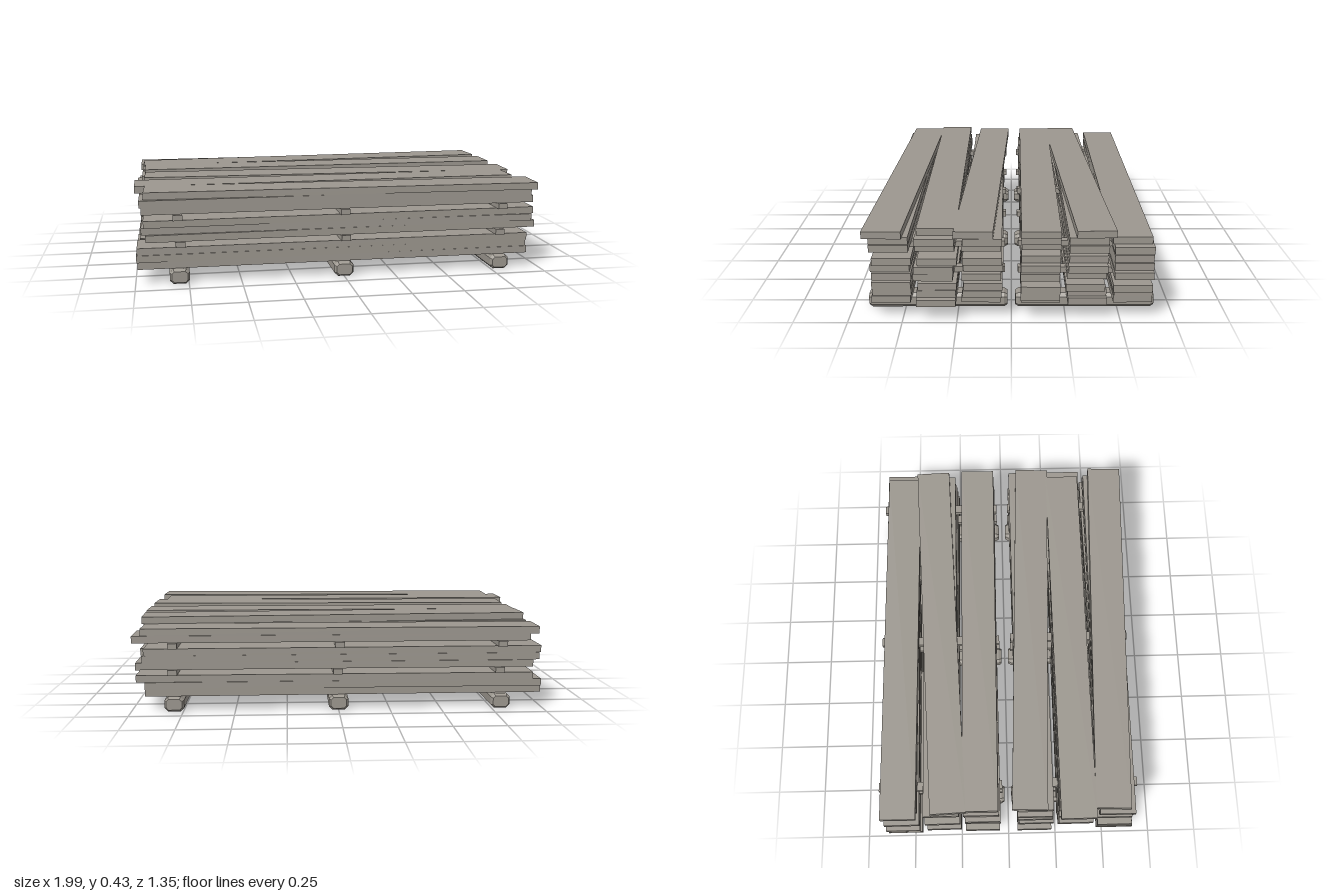
import * as THREE from 'three';

const wood = new THREE.MeshStandardMaterial({ color: 0x9c978f });
wood.name = 'weatheredWood';

// Small repeatable jitter in -1..1
function makeJitter(seed) {
  let s = seed;
  return () => {
    s = (s * 16807) % 2147483647;
    return (s / 2147483647) * 2 - 1;
  };
}

const BEARER_H = 0.072, PLANK_H = 0.0343, PLANK_W = 0.179, PLANK_L = 1.93, STICKER_H = 0.027;
const CROSS_X = [-0.793, 0, 0.793];

// Heavy ground beam with chamfered edges and ends, running along z
function bearerGeometry(width, height, length, c) {
  const w = width / 2, h = height / 2, b = c * 0.6;
  const a = w - b, d = h - b, k = c * 0.7;
  const shape = new THREE.Shape([
    [-a + k, -d], [a - k, -d], [a, -d + k], [a, d - k],
    [a - k, d], [-a + k, d], [-a, d - k], [-a, -d + k],
  ].map(([x, y]) => new THREE.Vector2(x, y)));
  const g = new THREE.ExtrudeGeometry(shape, {
    depth: length - 2 * c, bevelEnabled: true, bevelThickness: c, bevelSize: b, bevelSegments: 1,
  });
  return g.translate(0, 0, -(length - 2 * c) / 2);
}

const plankGeo = new THREE.BoxGeometry(PLANK_L, PLANK_H, PLANK_W);
const stickerGeo = new THREE.BoxGeometry(0.045, STICKER_H, 0.632);
const bearerGeo = bearerGeometry(0.094, BEARER_H, 0.655, 0.016);

function addMesh(parent, name, geo, x, y, z, yaw = 0) {
  const m = new THREE.Mesh(geo, wood);
  m.name = name;
  m.position.set(x, y, z);
  m.rotation.y = yaw;
  parent.add(m);
}

// One pile: bearers, then three tiers of three plank layers separated by stickers.
// topPlanks gives [x, z, yaw] for the loosely laid top layer.
function buildPile(name, centreZ, columns, topPlanks, seed) {
  const pile = new THREE.Group();
  pile.name = name;
  const jitter = makeJitter(seed);
  CROSS_X.forEach((x) => addMesh(pile, 'bearer', bearerGeo, x, BEARER_H / 2, centreZ));

  let y = BEARER_H;
  for (let tier = 0; tier < 3; tier++) {
    for (let layer = 0; layer < 3; layer++) {
      const py = y + PLANK_H / 2;
      if (tier === 2 && layer === 2) {
        topPlanks.forEach(([x, z, yaw]) => addMesh(pile, 'topPlank', plankGeo, x, py, z, yaw));
      } else {
        columns.forEach((z) => addMesh(pile, 'plank', plankGeo,
          jitter() * 0.033, py, z + jitter() * 0.004, jitter() * 0.009));
      }
      y += PLANK_H;
    }
    if (tier < 2) {
      CROSS_X.forEach((x) => addMesh(pile, 'sticker', stickerGeo,
        x + jitter() * 0.012, y + STICKER_H / 2, centreZ, jitter() * 0.012));
      y += STICKER_H;
    }
  }
  return pile;
}

export function createModel() {
  const model = new THREE.Group();
  model.name = 'lumberStack';
  model.add(buildPile('frontPile', 0.346, [0.135, 0.345, 0.552],
    [[0.015, 0.139, -0.034], [-0.032, 0.345, 0.005], [0.015, 0.553, -0.031]], 4127));
  // The back pile lacks its rearmost top plank
  model.add(buildPile('backPile', -0.346, [-0.137, -0.345, -0.555],
    [[0.013, -0.139, -0.004], [0.005, -0.345, 0.0415]], 9311));
  return model;
}
